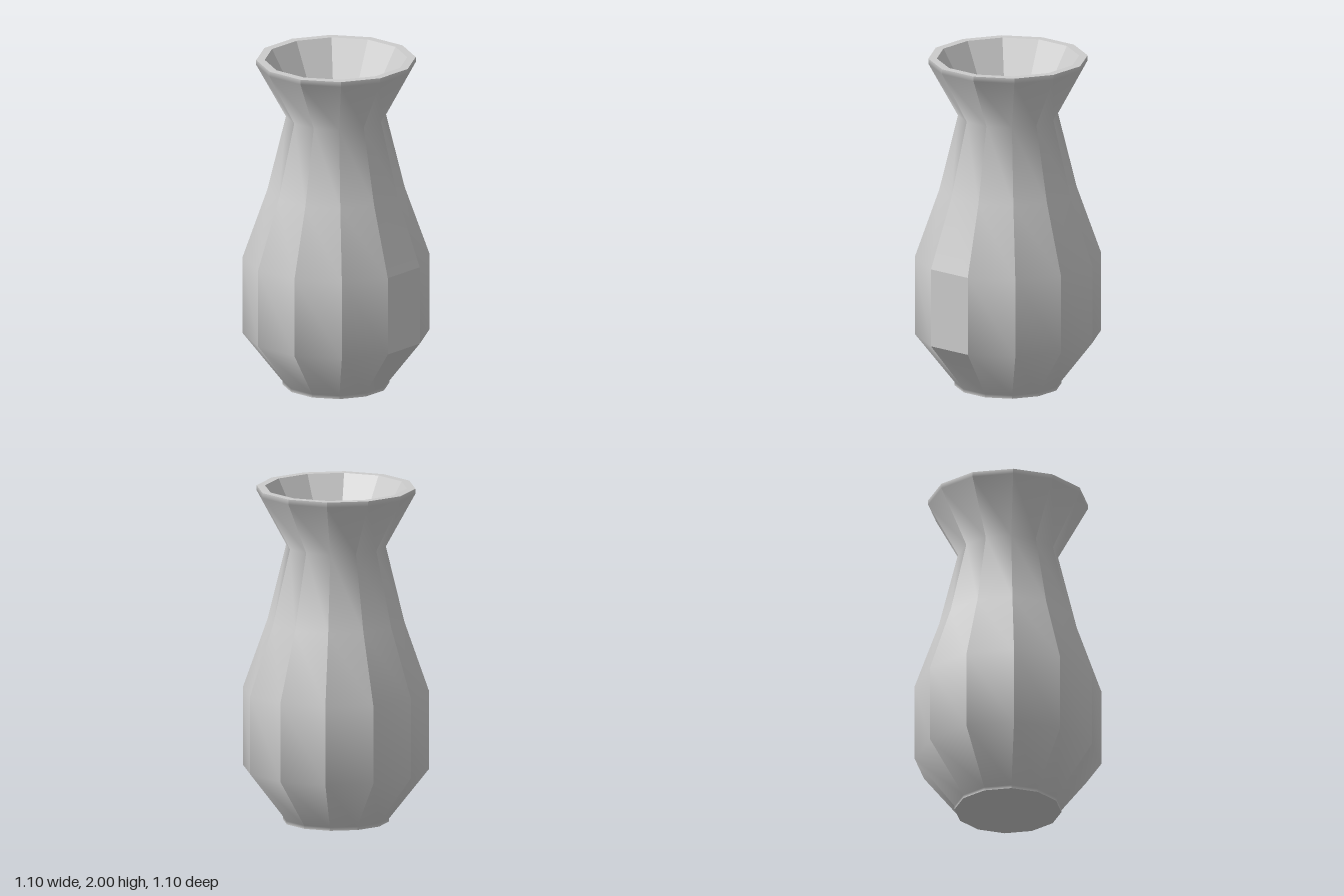
import * as THREE from 'three';
import { mergeGeometries } from 'three/addons/utils/BufferGeometryUtils.js';

const SIDES = 12;
const STEP = (Math.PI * 2) / SIDES;
const material = new THREE.MeshStandardMaterial({ color: 0xcccccc });

const points = (list) => list.map(([r, y]) => new THREE.Vector2(r, y));

// One facet column: shading is smooth up the column, sharp between columns
function column(profile, i) {
  const geometry = new THREE.LatheGeometry(points(profile), 1, i * STEP, STEP);
  geometry.computeVertexNormals();
  return geometry;
}

function mesh(name, geometry) {
  const m = new THREE.Mesh(geometry, material);
  m.name = name;
  return m;
}

// Flat twelve-sided ring or disc
const ring = (from, to, y) => new THREE.LatheGeometry(points([[from, y], [to, y]]), SIDES);

export function createModel() {
  const group = new THREE.Group();
  group.name = 'vase';

  // Outer wall from foot to flared lip
  const outer = [
    [0.315, 0], [0.315, 0.02], [0.55, 0.32], [0.55, 0.79],
    [0.405, 1.2], [0.295, 1.65], [0.47, 1.97], [0.47, 2],
  ];
  const columns = [];
  for (let i = 0; i < SIDES; i++) {
    if (i > 0) {
      columns.push(column(outer, i));
    } else {
      // the front column has flat lower panels
      columns.push(column(outer.slice(0, 3), 0), column(outer.slice(2, 4), 0), column(outer.slice(3), 0));
    }
  }
  group.add(mesh('outerWall', mergeGeometries(columns)));

  // Tapering inside of the mouth
  const inner = [[0.42, 2], [0.2, 1.6]];
  const mouth = [];
  for (let i = 0; i < SIDES; i++) mouth.push(column(inner, i));
  group.add(mesh('mouthWall', mergeGeometries(mouth)));

  group.add(mesh('rim', ring(0.47, 0.42, 2)));
  group.add(mesh('mouthFloor', ring(0.2, 0, 1.6)));
  group.add(mesh('base', ring(0, 0.315, 0)));
  return group;
}
